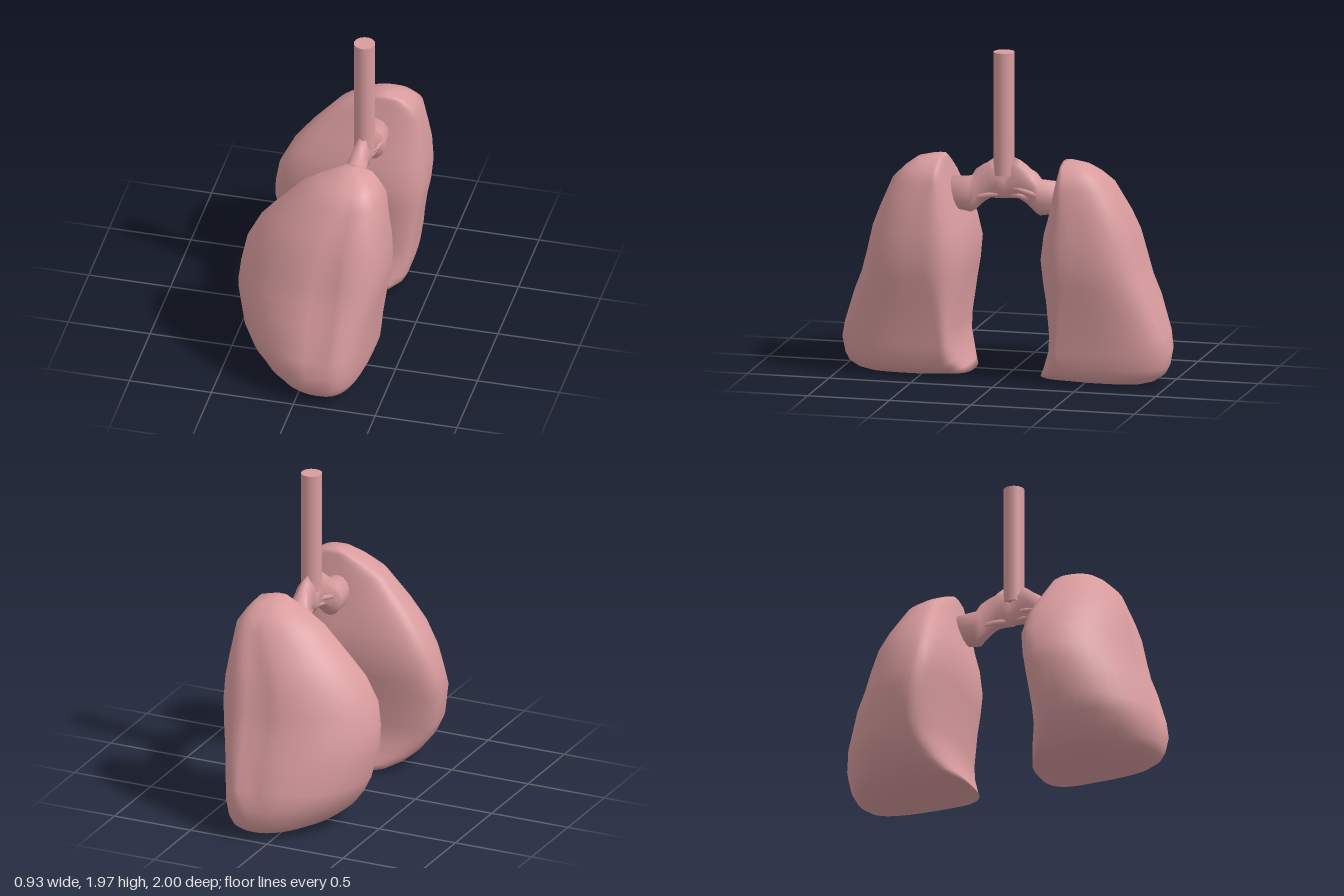
import * as THREE from 'three';

const tissue = new THREE.MeshStandardMaterial({ color: 0xd99c9e });
tissue.name = 'pink tissue';

// Skin a list of closed rings of equal length.
function loft(rings, flip) {
  const n = rings[0].length, index = [];
  for (let i = 0; i < rings.length - 1; i++) {
    for (let j = 0; j < n; j++) {
      const a = i * n + j, b = i * n + (j + 1) % n, c = a + n, d = b + n;
      if (flip) index.push(a, b, c, b, d, c);
      else index.push(a, c, b, b, c, d);
    }
  }
  const g = new THREE.BufferGeometry();
  g.setAttribute('position', new THREE.Float32BufferAttribute(rings.flat(2), 3));
  g.setIndex(index);
  g.computeVertexNormals();
  return g;
}

// Horizontal sections of a lobe:
// y, xMin, xMax, zInner, zOuter, xMid, z of the xMax edge
const sections = [
  [0.03, 0.10, 0.10, 0.62, 0.62, 0.10, 0.62],
  [0.005, -0.04, 0.24, 0.44, 0.84, 0.14, 0.56],
  [0.025, -0.17, 0.30, 0.21, 0.91, 0.13, 0.42],
  [0.06, -0.24, 0.34, 0.23, 0.96, 0.13, 0.37],
  [0.11, -0.30, 0.365, 0.25, 0.985, 0.13, 0.36],
  [0.20, -0.37, 0.377, 0.28, 1.00, 0.14, 0.36],
  [0.30, -0.42, 0.388, 0.285, 0.985, 0.14, 0.37],
  [0.50, -0.465, 0.42, 0.265, 0.92, 0.14, 0.40],
  [0.62, -0.455, 0.445, 0.245, 0.87, 0.14, 0.43],
  [0.75, -0.43, 0.46, 0.23, 0.835, 0.14, 0.45],
  [0.90, -0.355, 0.455, 0.25, 0.80, 0.15, 0.45],
  [1.02, -0.26, 0.44, 0.285, 0.755, 0.17, 0.44],
  [1.20, -0.10, 0.42, 0.33, 0.67, 0.21, 0.41],
  [1.27, 0.01, 0.375, 0.345, 0.60, 0.21, 0.40],
  [1.32, 0.11, 0.33, 0.355, 0.53, 0.21, 0.39],
  [1.34, 0.16, 0.25, 0.362, 0.45, 0.21, 0.40],
  [1.345, 0.21, 0.21, 0.40, 0.40, 0.21, 0.40],
];

function lobeGeometry(side) {
  const steps = 48;
  const rings = sections.map(([y, x0, x1, zi, zo, xm, zr]) => {
    const zl = zi + (zo - zi) * 0.27; // the left edge lies nearer the inner face
    const ring = [];
    for (let j = 0; j < steps; j++) {
      const a = j / steps * Math.PI * 2, c = Math.cos(a), s = Math.sin(a);
      // squarer at the right outer edge, rounder at the left outer edge
      const e = 2 / (s < 0 ? 2.7 : c < 0 ? 2 : 3);
      const u = Math.pow(Math.abs(c), e), v = Math.pow(Math.abs(s), e);
      const zm = c > 0 ? zr : zl;
      const x = xm + (c > 0 ? (x1 - xm) : (x0 - xm)) * u;
      let z = zm + (s > 0 ? (zo - zm) : (zi - zm)) * v;
      // shallow fissure down the outer face
      if (s > 0.3 && y > 0.25 && y < 1.15) {
        const line = 0.13 + 0.12 * Math.pow(Math.max(0, y - 0.6) / 0.6, 2);
        z -= 0.025 * Math.exp(-Math.pow((x - line) / 0.06, 2));
      }
      ring.push([x, y, z * side]);
    }
    return ring;
  });
  return loft(rings, side < 0);
}

// Bronchi sections along z: z, yBottom, yTop, xHalf, xMid
const half = [
  [0.05, 1.08, 1.34, 0.05, 0.185],
  [0.09, 1.085, 1.325, 0.055, 0.185],
  [0.13, 1.06, 1.30, 0.06, 0.18],
  [0.18, 1.01, 1.26, 0.075, 0.175],
  [0.21, 0.99, 1.21, 0.088, 0.17],
  [0.34, 1.01, 1.20, 0.088, 0.17],
  [0.34, 1.10, 1.10, 0, 0.17],
];

function bronchiGeometry() {
  const all = [...half.map(([z, ...r]) => [-z, ...r]).reverse(), [0, 1.08, 1.25, 0.05, 0.185], ...half];
  const rings = all.map(([z, y0, y1, w, xm], i) => {
    const ring = [];
    for (let j = 0; j < 14; j++) {
      const a = j / 14 * Math.PI * 2 + i * 0.12;
      const r = j % 2 && Math.abs(z) < 0.2 ? 0.84 : 1; // fluted strands
      ring.push([xm + Math.cos(a) * w * r, (y0 + y1) / 2 + Math.sin(a) * (y1 - y0) / 2 * r, z]);
    }
    return ring;
  });
  return loft(rings, true);
}

export function createModel() {
  const model = new THREE.Group();
  model.name = 'lungs';
  const add = (geometry, name) => {
    const mesh = new THREE.Mesh(geometry, tissue);
    mesh.name = name;
    model.add(mesh);
    return mesh;
  };

  add(lobeGeometry(1), 'frontLobe');
  add(lobeGeometry(-1), 'rearLobe');
  add(bronchiGeometry(), 'bronchi');

  // Windpipe
  add(new THREE.CylinderGeometry(0.063, 0.063, 0.745, 24), 'windpipe').position.set(0.187, 1.6025, 0.01);

  // Strands crossing along the bronchi
  for (let i = 0; i < 5; i++) {
    const x = 0.13 + i * 0.027, y = 1.09 + (i % 3) * 0.04;
    const path = new THREE.CatmullRomCurve3([
      new THREE.Vector3(x, y - 0.04, -0.3),
      new THREE.Vector3(0.19 + (i - 2) * 0.02, y + 0.02, -0.1),
      new THREE.Vector3(0.18 - (i - 2) * 0.02, y + 0.02, 0.1),
      new THREE.Vector3(0.35 - x, y - 0.04, 0.3),
    ]);
    add(new THREE.TubeGeometry(path, 12, 0.016, 6), 'strand');
  }
  return model;
}
